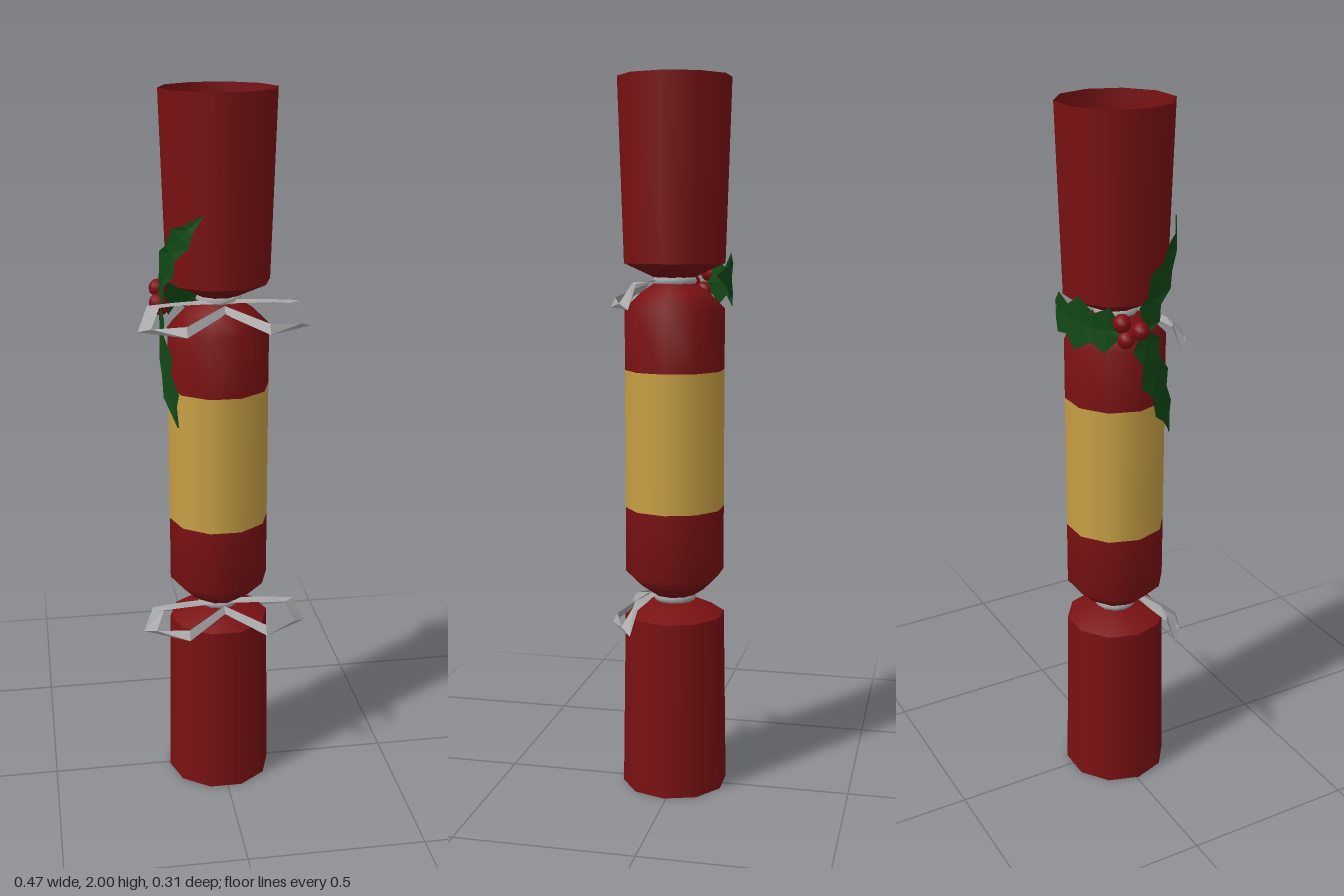
import * as THREE from 'three';

const CX = -0.006, CZ = 0.007; // axis of the paper tube

const mat = (name, color) => {
  const m = new THREE.MeshStandardMaterial({ color, side: THREE.DoubleSide });
  m.name = name;
  return m;
};

export function createModel() {
  const red = mat('red paper', 0x7a1113);
  const gold = mat('gold band', 0xc8a045);
  const silver = mat('silver ribbon', 0xa8a8a8);
  const green = mat('holly green', 0x124816);
  const berryRed = mat('berry red', 0x800c12);

  const model = new THREE.Group();
  const add = (name, geometry, material, parent = model) => {
    const mesh = new THREE.Mesh(geometry, material);
    mesh.name = name;
    parent.add(mesh);
    return mesh;
  };

  // ten-sided turned paper sections, profile given as [radius, height]
  const turned = (name, profile, material) => {
    const pts = profile.map(([r, y]) => new THREE.Vector2(r, y));
    add(name, new THREE.LatheGeometry(pts, 10, Math.PI / 2), material).position.set(CX, 0, CZ);
  };
  turned('lowerTail', [[0.15, 0], [0.142, 0.505]], red);
  turned('lowerTailFunnel', [[0.142, 0.505], [0.055, 0.545], [0.001, 0.547]], red);
  turned('lowerBarrel', [[0.05, 0.555], [0.095, 0.585], [0.14, 0.63], [0.14, 0.815]], red);
  turned('goldBand', [[0.14, 0.815], [0.14, 1.205]], gold);
  turned('upperBarrel', [[0.14, 1.205], [0.14, 1.375], [0.095, 1.42], [0.05, 1.45]], red);
  turned('upperTailFunnel', [[0.001, 1.458], [0.055, 1.46], [0.141, 1.5]], red);
  turned('upperTail', [[0.141, 1.5], [0.157, 2]], red);

  // strip surface through rows of points
  const strip = (rows) => {
    const n = rows[0].length, index = [];
    for (let i = 0; i < rows.length - 1; i++) {
      for (let j = 0; j < n - 1; j++) {
        const a = i * n + j, b = a + n;
        index.push(a, b, a + 1, a + 1, b, b + 1);
      }
    }
    const g = new THREE.BufferGeometry();
    g.setAttribute('position', new THREE.Float32BufferAttribute(rows.flat(2), 3));
    g.setIndex(index);
    const flat = g.toNonIndexed();
    flat.computeVertexNormals();
    return flat;
  };

  // ribbon: ring round the neck and a drooping loop on each side
  const loopRows = [
    [[0, 0.008, 0.045], [0, 0, 0.065]],
    [[0.13, 0.005, 0.055], [0.13, 0.005, 0.09]],
    [[0.205, 0.002, 0.065], [0.175, 0, 0.085]],
    [[0.233, -0.065, 0.08], [0.2, -0.05, 0.113]],
    [[0.11, -0.065, 0.16], [0.11, -0.038, 0.147]],
    [[0, -0.024, 0.09], [0, -0.003, 0.08]],
  ];
  const addBow = (name, ringY, loopY) => {
    const bow = new THREE.Group();
    bow.name = name;
    model.add(bow);
    const ring = add('ribbonRing', new THREE.TorusGeometry(0.05, 0.013, 6, 12), silver, bow);
    ring.rotation.x = Math.PI / 2;
    ring.position.set(CX, ringY, CZ);
    for (const s of [1, -1]) {
      const rows = loopRows.map((r) => r.map(([x, y, z]) => [x * s, y + loopY, z]));
      add(s > 0 ? 'leftLoop' : 'rightLoop', strip(rows), silver, bow);
    }
  };
  addBow('lowerBow', 0.555, 0.563);
  addBow('upperBow', 1.452, 1.448);

  // holly leaves wrapped on the tube: angle runs from -x towards +z
  const outline = [[0, 0.012], [0.14, 0.05], [0.28, 0.032], [0.45, 0.06],
    [0.58, 0.034], [0.75, 0.046], [0.84, 0.022], [1, 0.001]];
  const addLeaf = (name, [a0, y0], [a1, y1], width, bend) => {
    const R = 0.157;
    const len = Math.hypot((a1 - a0) * R, y1 - y0);
    const px = -(y1 - y0) / len, py = (a1 - a0) * R / len;
    const rows = outline.map(([t, w]) => [-1, 0, 1].map((side) => {
      const off = side * w * width;
      const a = a0 + (a1 - a0) * t ** bend + off * px / R;
      const y = y0 + (y1 - y0) * t + off * py;
      const r = side ? R + 0.004 : R;
      return [CX - Math.cos(a) * r, y, CZ + Math.sin(a) * r];
    }));
    add(name, strip(rows), green);
  };
  addLeaf('upperLeaf', [0.05, 1.44], [1.19, 1.7], 0.8, 1.7);
  addLeaf('lowerLeaf', [-0.02, 1.44], [0.67, 1.12], 0.85, 1.2);
  addLeaf('backLeaf', [-0.4, 1.44], [-2.13, 1.47], 1.25, 1);

  // holly berries
  for (const [x, y, z] of [[-0.163, 1.468, -0.06], [-0.168, 1.44, -0.008], [-0.158, 1.42, -0.045]]) {
    add('berry', new THREE.SphereGeometry(0.025, 8, 6), berryRed).position.set(x, y, z);
  }
  return model;
}
